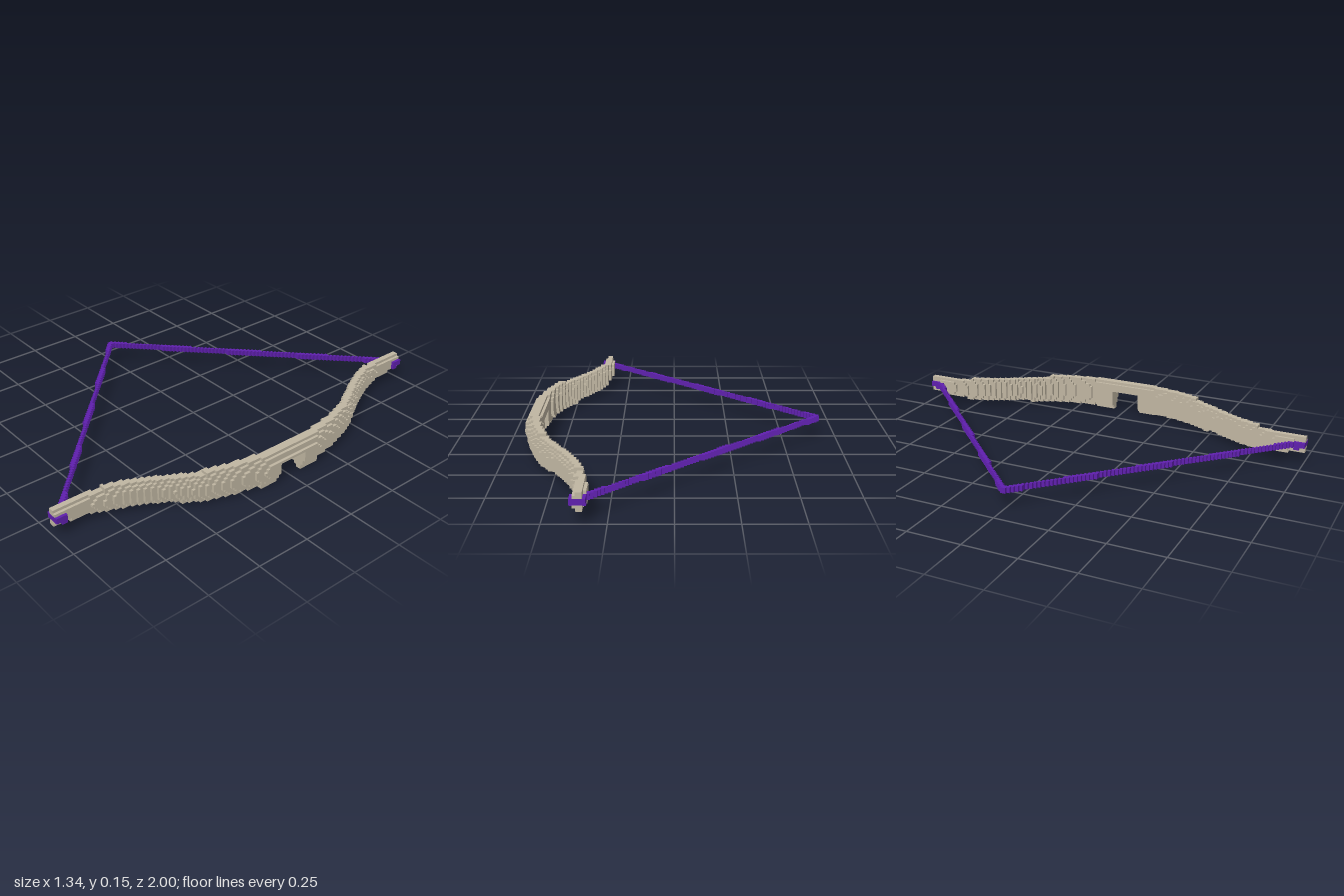
import * as THREE from 'three';

const HALF = 79;             // cells along half the length
const V = 1 / HALF;          // cell size
const key = (i, j, k) => `${i},${j},${k}`;

// Cell set -> mesh made only of the exposed square faces
function voxelMesh(name, cells, material) {
  const pos = [], nor = [];
  for (const c of cells) {
    const p = c.split(',').map(Number);
    for (let a = 0; a < 3; a++) for (const s of [1, -1]) {
      const n = [0, 0, 0];
      n[a] = s;
      if (cells.has(key(p[0] + n[0], p[1] + n[1], p[2] + n[2]))) continue;
      const u = (a + 1) % 3, w = (a + 2) % 3;
      const corner = (du, dw) => {
        const q = [...p];
        q[a] += s > 0 ? 1 : 0;
        q[u] += du;
        q[w] += dw;
        return q.map(t => t * V);
      };
      const A = corner(0, 0), B = corner(1, 0), C = corner(1, 1), D = corner(0, 1);
      const order = s > 0 ? [A, B, C, A, C, D] : [A, C, B, A, D, C];
      for (const q of order) { pos.push(...q); nor.push(...n); }
    }
  }
  const g = new THREE.BufferGeometry();
  g.setAttribute('position', new THREE.Float32BufferAttribute(pos, 3));
  g.setAttribute('normal', new THREE.Float32BufferAttribute(nor, 3));
  const m = new THREE.Mesh(g, material);
  m.name = name;
  return m;
}

// Limb profile: distance from the middle, inner x, outer x
const PROFILE = [
  [0, 0.595, 0.672], [0.15, 0.592, 0.668], [0.2, 0.585, 0.652], [0.3, 0.57, 0.632],
  [0.4, 0.532, 0.6], [0.5, 0.475, 0.542], [0.6, 0.42, 0.48], [0.7, 0.372, 0.43],
  [0.77, 0.35, 0.402], [0.85, 0.334, 0.382], [1, 0.33, 0.38],
];
function profileAt(z) {
  let n = 1;
  while (n < PROFILE.length - 1 && PROFILE[n][0] < z) n++;
  const [a, b] = [PROFILE[n - 1], PROFILE[n]];
  const t = (z - a[0]) / (b[0] - a[0]);
  return [a[1] + (b[1] - a[1]) * t, a[2] + (b[2] - a[2]) * t];
}

export function createModel() {
  const wood = new THREE.MeshStandardMaterial({ color: 0xc0b6a2 });
  wood.name = 'pale wood';
  const purple = new THREE.MeshStandardMaterial({ color: 0x5f1fae });
  purple.name = 'purple cord';
  const limb = new Set(), cord = new Set(), nocks = new Set();

  for (let k = -HALF; k < HALF; k++) {
    const z = Math.abs(k + 0.5) * V;

    // Curved limb with a rounded section that tapers to the tips
    const [xi, xo] = profileAt(z);
    const top = z < 0.4 ? 12 : z < 0.77 ? 11 : 10;
    const bottom = z < 0.5 ? 1 : z < 0.8 ? 2 : z < 0.93 ? 3 : 4;
    const mid = (top + bottom) / 2, half = (top - bottom) / 2;
    for (let j = bottom; j < top; j++) {
      if (k >= -5 && k <= 5 && j < 8) continue;      // arrow notch
      const t = Math.abs(j + 0.5 - mid) / half, w = xo - xi;
      let i0 = Math.round((xi + 0.2 * w * t ** 3) / V);
      const i1 = Math.round((xo - 0.38 * w * t ** 2) / V);
      if (z > 0.95) i0 = Math.max(i0, 27);
      for (let i = i0; i < i1; i++) limb.add(key(i, j, k));
    }
    // Small feet either side of the notch
    if ((k >= 6 && k <= 12) || (k >= -13 && k <= -6))
      for (let i = 49; i < 51; i++) limb.add(key(i, 0, k));

    // Drawn string, two cells tall
    if (z < 0.955) {
      const x = (-0.665 + z * 1.055) / V;
      for (let i = Math.floor(x - 0.25); i <= Math.floor(x + 0.25); i++)
        for (const j of [6, 7]) cord.add(key(i, j, k));
    } else {
      // Cord passing through the tip
      for (let i = 26; i < 31; i++)
        for (let j = z > 0.975 ? 6 : 5; j < 8; j++) nocks.add(key(i, j, k));
    }
  }
  for (const c of [...nocks, ...cord]) limb.delete(c);

  const group = new THREE.Group();
  group.name = 'bow';
  group.add(
    voxelMesh('limb', limb, wood),
    voxelMesh('string', cord, purple),
    voxelMesh('tipCords', nocks, purple),
  );
  return group;
}
